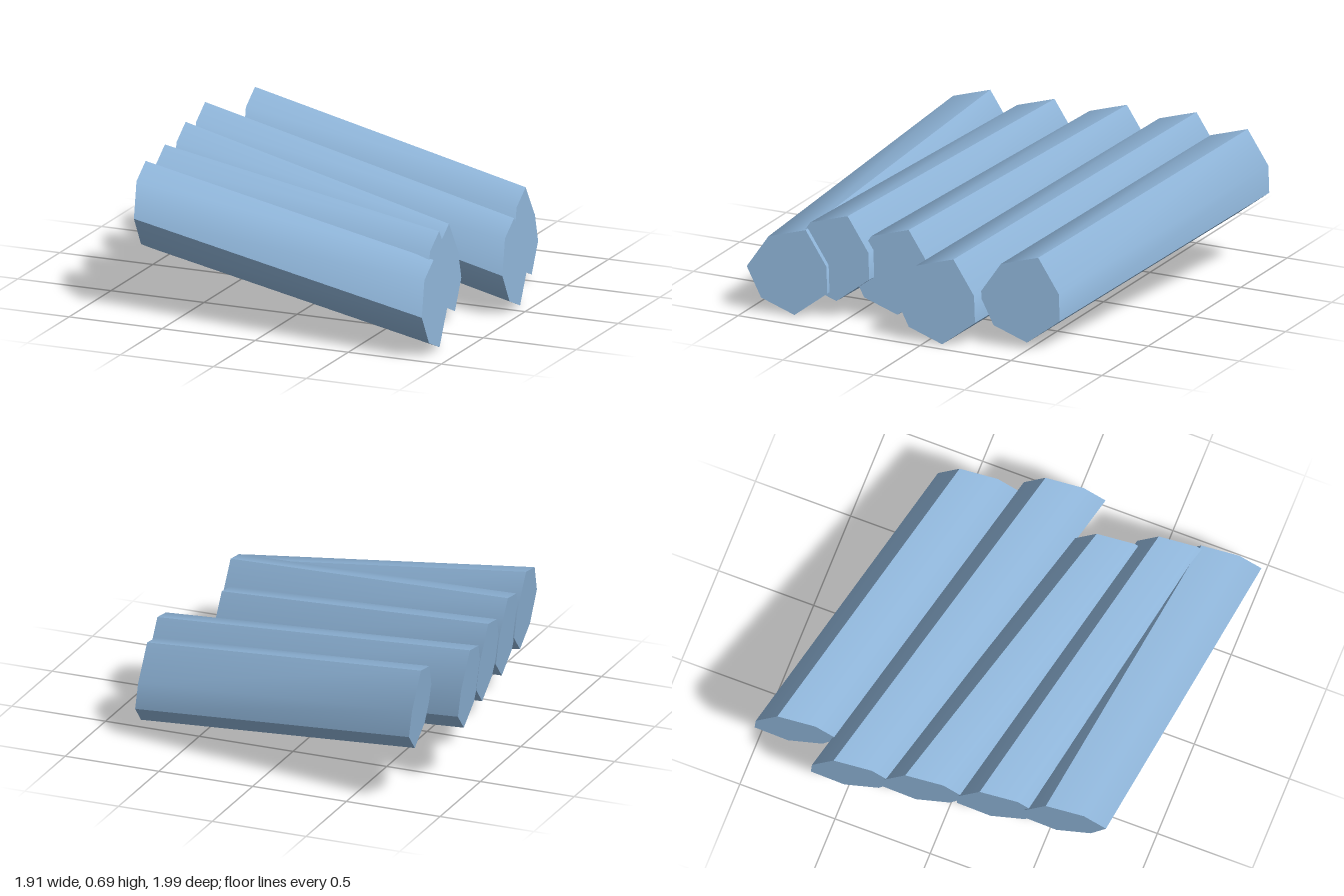
import * as THREE from 'three';
import { toCreasedNormals } from 'three/addons/utils/BufferGeometryUtils.js';

// Shared seven-sided cross-section (across, up), measured from its top corner.
const PROFILE = [
  [0, 0], [-0.187, -0.05], [-0.29, -0.21], [-0.21, -0.36],
  [-0.037, -0.43], [0.124, -0.307], [0.113, -0.172],
];

// Each beam: top corner of its left end, and the run along its length.
const BEAMS = [
  { start: [-0.80, 0.70, 0.53], run: [1.63, -0.26, 0.185] },
  { start: [-0.845, 0.69, 0.20], run: [1.615, -0.165, 0.315] },
  { start: [-0.90, 0.70, -0.17], run: [1.59, -0.225, 0.39] },
  { start: [-0.955, 0.70, -0.525], run: [1.84, -0.265, 0.40] },
  { start: [-0.84, 0.70, -0.865], run: [1.605, -0.23, 0.335] },
];

// Oblique prism: a unit extrusion sheared so that its ends stay slanted.
function beamGeometry({ start, run }) {
  const shape = new THREE.Shape(PROFILE.map(([x, y]) => new THREE.Vector2(x, y)));
  const geometry = new THREE.ExtrudeGeometry(shape, { depth: 1, bevelEnabled: false });
  const matrix = new THREE.Matrix4().makeBasis(
    new THREE.Vector3(-0.16, 0, -1),
    new THREE.Vector3(-0.1, 1, 0),
    new THREE.Vector3(...run),
  );
  matrix.setPosition(...start);
  geometry.applyMatrix4(matrix);
  return toCreasedNormals(geometry, THREE.MathUtils.degToRad(49));
}

export function createModel() {
  const group = new THREE.Group();
  group.name = 'leaningBeams';
  const blue = new THREE.MeshStandardMaterial({ color: 0x8fb5d9 });
  blue.name = 'paleBlue';

  // Row of leaning beams, front to back
  BEAMS.forEach((beam, i) => {
    const mesh = new THREE.Mesh(beamGeometry(beam), blue);
    mesh.name = `beam${i + 1}`;
    group.add(mesh);
  });
  return group;
}
